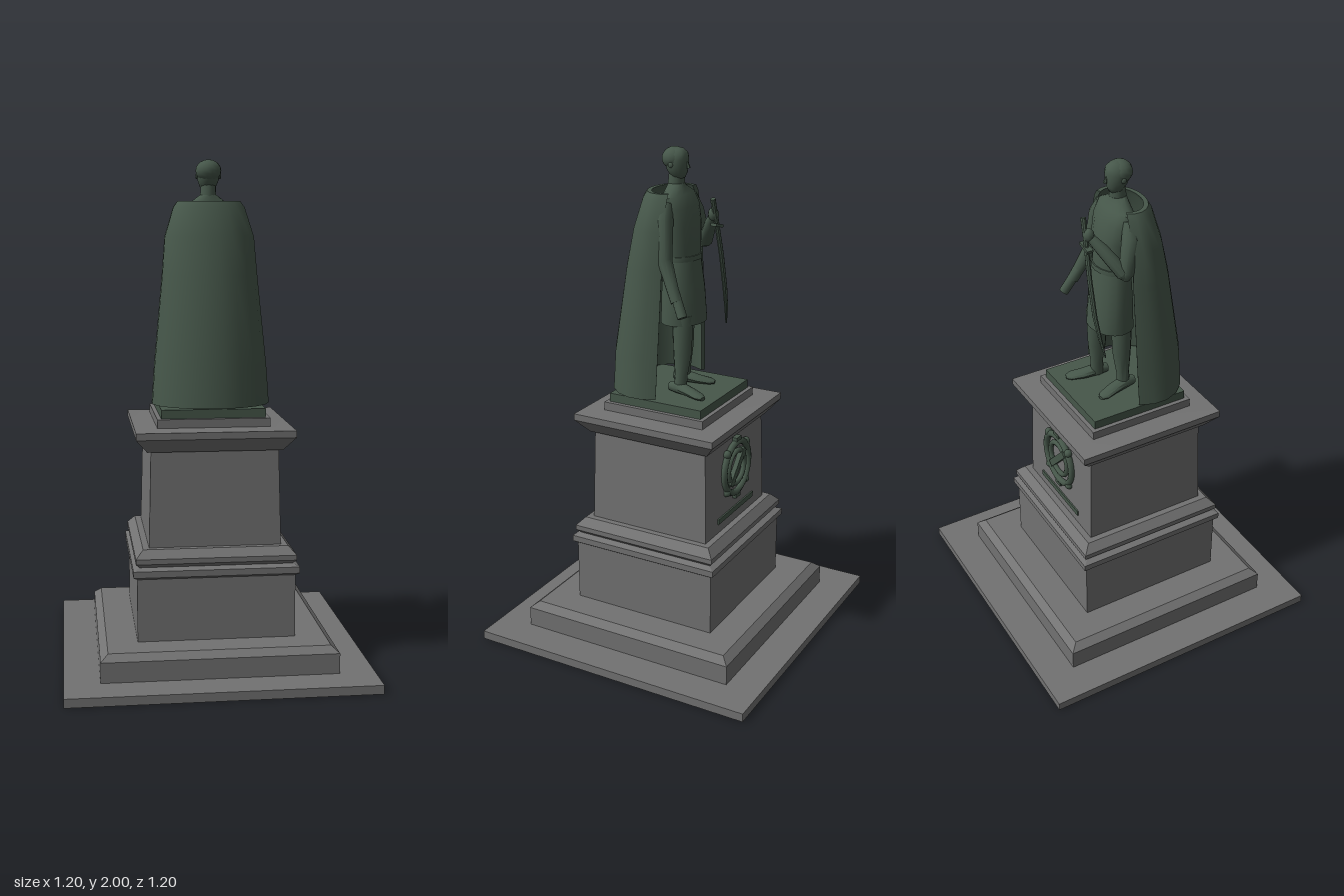
import * as THREE from 'three';
import { toCreasedNormals } from 'three/addons/utils/BufferGeometryUtils.js';

const stone = new THREE.MeshStandardMaterial({ color: 0x727272 });
stone.name = 'grey stone';
const bronze = new THREE.MeshStandardMaterial({ color: 0x46574a });
bronze.name = 'green bronze';

function add(parent, name, geometry, material, x = 0, y = 0, z = 0) {
  const mesh = new THREE.Mesh(geometry, material);
  mesh.name = name;
  mesh.position.set(x, y, z);
  parent.add(mesh);
  return mesh;
}

// Closed skin over rings of points, with both ends capped
function loft(rings, crease = 0.7) {
  const n = rings[0].length, index = [];
  rings.slice(1).forEach((_, i) => {
    for (let j = 0; j < n; j++) {
      const a = i * n + j, b = i * n + (j + 1) % n;
      index.push(a, b, b + n, a, b + n, a + n);
    }
  });
  const last = (rings.length - 1) * n;
  for (let j = 0; j < n / 2 - 1; j++) {
    const q = [j, j + 1, n - 2 - j, n - 1 - j];
    for (const [a, b, c] of [[q[0], q[1], q[2]], [q[0], q[2], q[3]]]) {
      index.push(last + a, last + b, last + c, c, b, a);
    }
  }
  const geo = new THREE.BufferGeometry().setFromPoints(rings.flat());
  geo.setIndex(index);
  return toCreasedNormals(geo, crease);
}

// Tapered form along a path; each point is [x, y, z, radiusX, otherRadius]
function limb(points, sides = 10, crease = 0.7) {
  const pos = points.map((p) => new THREE.Vector3(p[0], p[1], p[2]));
  const xAxis = new THREE.Vector3(1, 0, 0);
  return loft(points.map((p, i) => {
    const d = pos[Math.min(i + 1, pos.length - 1)].clone().sub(pos[Math.max(i - 1, 0)]).normalize();
    const v = d.clone().cross(xAxis).normalize();
    const u = v.clone().cross(d);
    return Array.from({ length: sides }, (_, k) => {
      const a = (k / sides) * Math.PI * 2;
      return pos[i].clone().addScaledVector(u, Math.cos(a) * p[3])
        .addScaledVector(v, Math.sin(a) * (p[4] ?? p[3]));
    });
  }), crease);
}

function makePedestal() {
  const group = new THREE.Group();
  group.name = 'pedestal';
  // Half width and height of the stepped, moulded square profile
  const profile = [
    [0, 0], [0.6, 0], [0.6, 0.035], [0.46, 0.035], [0.46, 0.115], [0.43, 0.14], [0.31, 0.14],
    [0.31, 0.39], [0.325, 0.4], [0.325, 0.425], [0.3, 0.435], [0.315, 0.45], [0.315, 0.47],
    [0.285, 0.502], [0.26, 0.502], [0.25, 0.88], [0.265, 0.88], [0.31, 0.935], [0.31, 0.962],
    [0.222, 0.966], [0.222, 1.0], [0, 1.0],
  ].map(([w, y]) => new THREE.Vector2(w * Math.SQRT2, y));
  const square = new THREE.LatheGeometry(profile, 4, Math.PI / 4);
  add(group, 'steppedStone', toCreasedNormals(square, 0.3), stone);

  // Wreath ornament and thin plaque on the face below the figure
  const ornament = new THREE.Group();
  ornament.name = 'ornament';
  ornament.position.set(0, 0.735, -0.262);
  for (const [name, r, t] of [['outerRing', 0.108, 0.014], ['innerRing', 0.07, 0.011]]) {
    add(ornament, name, new THREE.TorusGeometry(r, t, 8, 32), bronze);
  }
  add(ornament, 'diagonalBar', new THREE.BoxGeometry(0.028, 0.17, 0.022), bronze).rotation.z = 0.75;
  for (let i = 0; i < 4; i++) {
    const a = Math.PI / 4 + i * Math.PI / 2;
    add(ornament, 'boss', new THREE.SphereGeometry(0.017, 10, 8), bronze, Math.cos(a) * 0.118, Math.sin(a) * 0.118);
  }
  for (const s of [-1, 1]) {
    add(ornament, 'endPiece', new THREE.BoxGeometry(0.04, 0.025, 0.02), bronze, 0, s * 0.12, 0);
  }
  group.add(ornament);
  add(group, 'plaque', new THREE.BoxGeometry(0.31, 0.022, 0.009), bronze, 0, 0.552, -0.26);
  return group;
}

function makeCape() {
  // Height, half width, centre z and depth of each level
  const levels = [
    [1.838, 0.125, 0.03, 0.09], [1.815, 0.142, 0.033, 0.1], [1.7, 0.178, 0.045, 0.122],
    [1.55, 0.19, 0.055, 0.147], [1.2, 0.224, 0.075, 0.182], [1.045, 0.235, 0.08, 0.184],
  ];
  const steps = 13, rings = [];
  for (let i = 0; i <= steps; i++) {
    const t = (i / steps * 2 - 1) * 2.06;
    const at = (shrink) => levels.map(([y, w, c, d]) =>
      new THREE.Vector3((w - shrink) * Math.sin(t), y, c + (d - shrink) * Math.cos(t)));
    rings.push([...at(0), ...at(0.018).reverse()]);
  }
  return loft(rings);
}

function makeFigure() {
  const group = new THREE.Group();
  group.name = 'figure';
  add(group, 'basePlate', new THREE.BoxGeometry(0.41, 0.036, 0.41), bronze, 0, 1.017, 0);
  add(group, 'cape', makeCape(), bronze);

  // Belted tunic
  add(group, 'skirt', limb([
    [0, 1.32, -0.02, 0.108, 0.088], [0, 1.45, -0.017, 0.104, 0.08], [0, 1.58, -0.012, 0.09, 0.068],
  ], 16), bronze);
  add(group, 'belt', limb([[0, 1.572, -0.012, 0.094, 0.073], [0, 1.592, -0.012, 0.094, 0.073]], 16), bronze);
  add(group, 'torso', limb([
    [0, 1.58, -0.012, 0.089, 0.068], [0, 1.7, -0.01, 0.102, 0.068], [0, 1.77, -0.002, 0.112, 0.06],
    [0, 1.815, 0.01, 0.105, 0.05], [0, 1.842, 0.014, 0.06, 0.038], [0, 1.862, 0.014, 0.034, 0.032],
  ], 16), bronze);

  // Head
  add(group, 'neck', limb([[0, 1.83, 0.016, 0.033, 0.034], [0, 1.91, 0.012, 0.03, 0.03]], 12), bronze);
  add(group, 'head', limb([
    [0, 1.878, -0.008, 0.016, 0.016], [0, 1.893, 0, 0.032, 0.032], [0, 1.92, 0.008, 0.042, 0.043],
    [0, 1.95, 0.013, 0.047, 0.049], [0, 1.975, 0.014, 0.042, 0.046], [0, 1.992, 0.015, 0.025, 0.03],
    [0, 1.998, 0.015, 0.008, 0.01],
  ], 14, 1.2), bronze);
  const hair = add(group, 'hair', new THREE.SphereGeometry(0.052, 14, 10), bronze, 0, 1.956, 0.023);
  hair.scale.set(0.98, 0.84, 0.92);
  add(group, 'nose', limb([[0, 1.921, -0.039, 0.008], [0, 1.945, -0.032, 0.004]], 6), bronze);
  for (const s of [-1, 1]) {
    add(group, 'ear', new THREE.SphereGeometry(0.011, 8, 6), bronze, s * 0.046, 1.935, 0.015).scale.x = 0.5;
  }

  // Legs and feet; the left one stands forward
  for (const [side, x, z, turn] of [['left', 0.06, -0.045, 0.03], ['right', -0.05, 0.005, -0.025]]) {
    add(group, side + 'Leg', limb([
      [x * 1.15, 1.05, z + 0.005, 0.024, 0.027], [x * 1.1, 1.11, z + 0.002, 0.025, 0.026],
      [x, 1.2, z, 0.034, 0.037], [x * 0.95, 1.36, z, 0.042, 0.044],
    ]), bronze);
    add(group, side + 'Foot', limb([
      [x * 1.15, 1.058, z + 0.05, 0.018, 0.018], [x * 1.2, 1.061, z + 0.01, 0.026, 0.026],
      [x * 1.2 + turn * 0.4, 1.053, z - 0.05, 0.028, 0.018], [x * 1.2 + turn, 1.047, z - 0.1, 0.026, 0.012],
      [x * 1.2 + turn * 1.2, 1.044, z - 0.118, 0.012, 0.008],
    ]), bronze);
  }

  // Left arm hangs forward and holds a rolled paper
  add(group, 'leftArm', limb([
    [0.1, 1.8, 0.008, 0.026], [0.122, 1.74, 0, 0.036], [0.145, 1.59, -0.015, 0.03],
    [0.168, 1.49, -0.062, 0.024], [0.178, 1.445, -0.085, 0.023],
  ]), bronze);
  add(group, 'scroll', limb([[0.163, 1.5, -0.06, 0.02], [0.192, 1.39, -0.118, 0.02]], 10), bronze);

  // Right arm bends up to the sword hilt
  add(group, 'rightUpperArm', limb([
    [-0.1, 1.8, 0.008, 0.026], [-0.122, 1.74, 0, 0.036], [-0.142, 1.615, -0.03, 0.03],
    [-0.14, 1.59, -0.036, 0.018],
  ]), bronze);
  add(group, 'rightForearm', limb([
    [-0.147, 1.6, -0.03, 0.018], [-0.138, 1.615, -0.04, 0.029], [-0.075, 1.7, -0.095, 0.024],
    [-0.045, 1.738, -0.122, 0.018],
  ]), bronze);
  const hand = add(group, 'rightHand', new THREE.SphereGeometry(0.024, 10, 8), bronze, -0.035, 1.748, -0.128);
  hand.scale.set(0.9, 1.15, 0.9);

  // Curved sword held point down
  add(group, 'swordHilt', limb([
    [-0.012, 1.812, -0.137, 0.011], [-0.03, 1.745, -0.139, 0.01], [-0.042, 1.705, -0.141, 0.01],
  ], 8), bronze);
  add(group, 'swordGuard', new THREE.BoxGeometry(0.06, 0.012, 0.026), bronze, -0.04, 1.705, -0.141).rotation.z = 0.25;
  add(group, 'swordBlade', limb([
    [-0.04, 1.71, -0.141, 0.011, 0.009], [-0.072, 1.58, -0.146, 0.012, 0.009],
    [-0.107, 1.44, -0.145, 0.011, 0.009], [-0.135, 1.35, -0.138, 0.009, 0.007],
    [-0.156, 1.28, -0.128, 0.003, 0.003],
  ], 8), bronze);
  return group;
}

export function createModel() {
  const model = new THREE.Group();
  model.name = 'statueOnPedestal';
  model.add(makePedestal(), makeFigure());
  return model;
}
